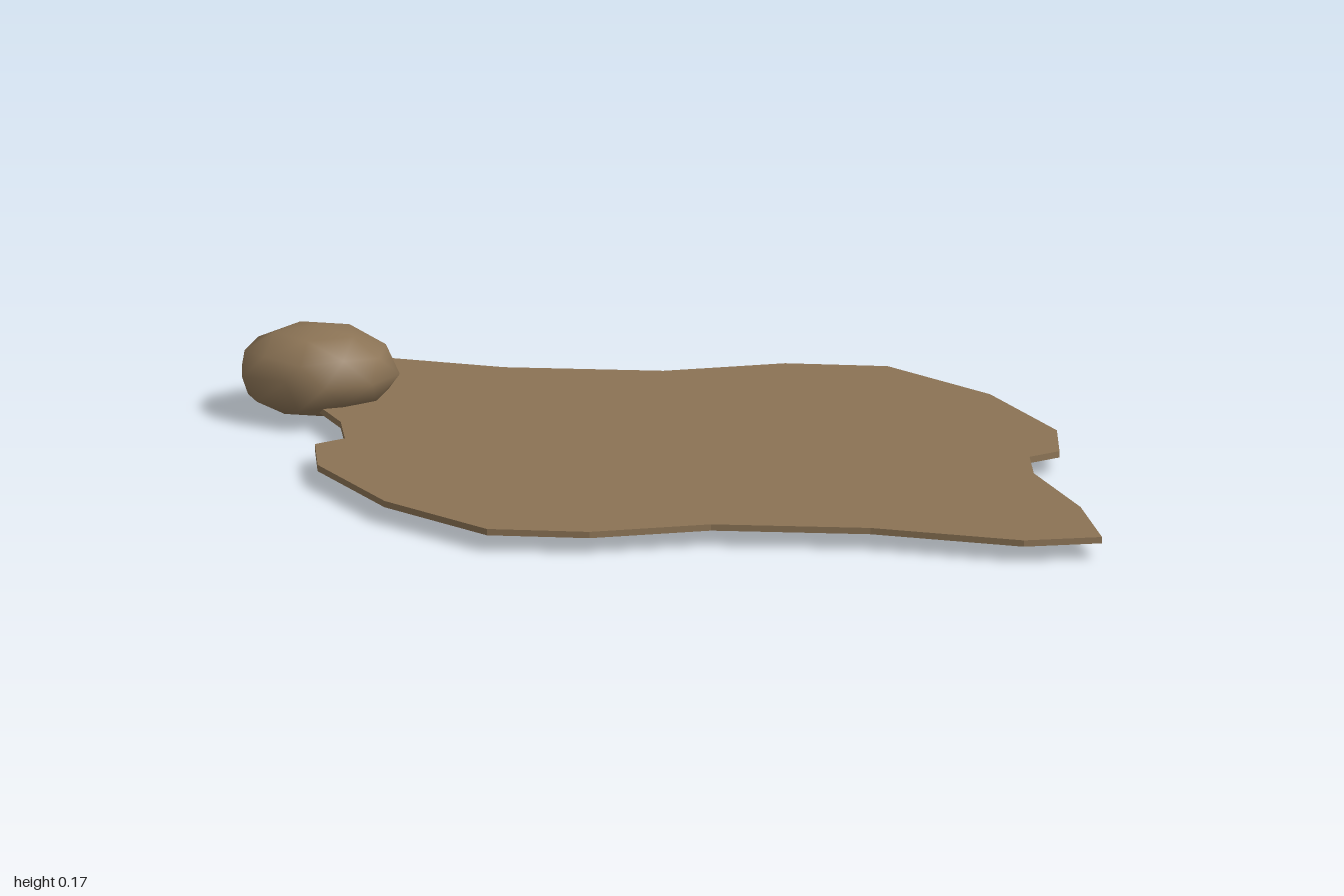
import * as THREE from 'three';
import { mergeVertices } from 'three/addons/utils/BufferGeometryUtils.js';

const brown = new THREE.MeshStandardMaterial({ color: 0x8b7355 });
brown.name = 'earth brown';

// Thin ragged sheet: half an outline (x, z), repeated by a half turn
function makeSheet() {
  const half = [
    [0, -0.71], [0.27, -0.63], [0.515, -0.465], [0.6, -0.335], [0.575, -0.27], [0.645, -0.17],
    [0.85, 0], [1, 0.17], [0.89, 0.267], [0.6, 0.335], [0.335, 0.465], [0.173, 0.63],
  ];
  const outline = [1, -1].flatMap((s) => half.map(([x, z]) => new THREE.Vector2(s * x, s * z)));
  const geo = new THREE.ExtrudeGeometry(new THREE.Shape(outline), { depth: 0.012, bevelEnabled: false });
  geo.rotateX(Math.PI / 2);
  const mesh = new THREE.Mesh(geo, brown);
  mesh.name = 'groundSheet';
  mesh.position.y = 0.042;
  return mesh;
}

// Squashed icosphere with a vertex on top and a few dents and bulges
function makeRock() {
  const R = 0.15, H = 0.085;
  let geo = new THREE.IcosahedronGeometry(1, 1);
  geo.rotateZ(-Math.atan(2 / (1 + Math.sqrt(5))));
  geo.deleteAttribute('normal');
  geo.deleteAttribute('uv');
  geo = mergeVertices(geo, 1e-4);

  // [angle from +x towards +z, height on unit sphere, new horizontal radius]
  const nudges = [
    [90, 0, 0.113], [72, -0.526, 0.148], [108, -0.447, 0.146],
    [198, 0, 0.12], [234, 0, 0.125], [216, -0.526, 0.139],
    [306, 0, 0.132], [270, 0, 0.155], [54, 0, 0.157], [162, 0, 0.142], [18, 0, 0.157], [342, 0, 0.157],
  ];
  const p = geo.attributes.position;
  for (let i = 0; i < p.count; i++) {
    const x = p.getX(i), y = p.getY(i), z = p.getZ(i);
    const angle = (THREE.MathUtils.radToDeg(Math.atan2(z, x)) + 360) % 360;
    const hit = nudges.find(([a, h]) => Math.abs(a - angle) < 4 && Math.abs(h - y) < 0.05);
    const k = hit ? hit[2] / Math.hypot(x, z) : R;
    p.setXYZ(i, x * k, y * H, z * k);
  }
  geo.computeVertexNormals();
  const mesh = new THREE.Mesh(geo, brown);
  mesh.name = 'rock';
  mesh.position.set(-0.8, H, 0);
  return mesh;
}

export function createModel() {
  const group = new THREE.Group();
  group.name = 'groundWithRock';
  group.add(makeSheet(), makeRock());
  return group;
}
